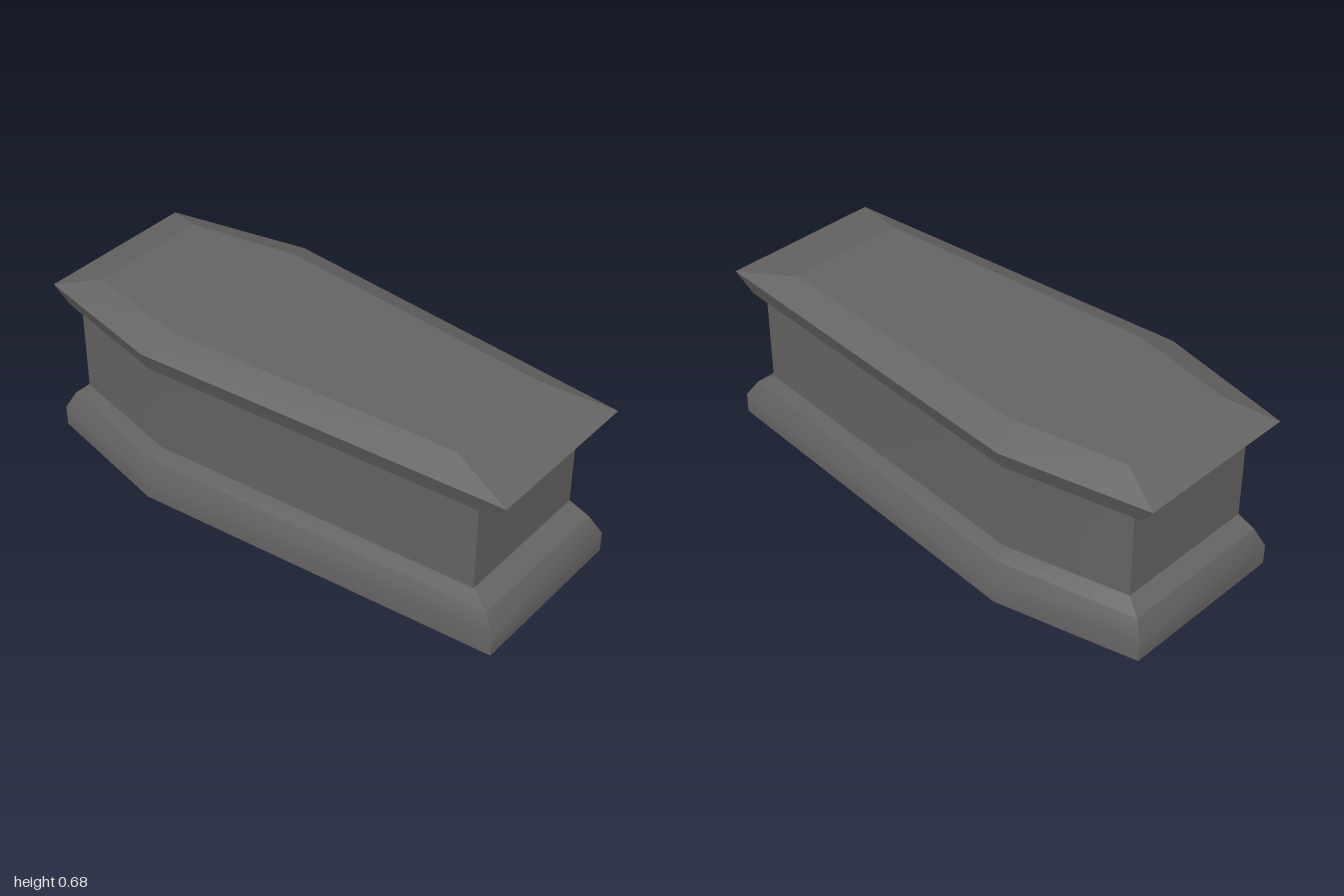
import * as THREE from 'three';
import { toCreasedNormals } from 'three/addons/utils/BufferGeometryUtils.js';

// Six-sided outline at height y: half-width and z at front, shoulder and back
function ring([y, wf, zf, wm, zm, wb, zb]) {
  return [[wf, zf], [wm, zm], [wb, zb], [-wb, zb], [-wm, zm], [-wf, zf]]
    .map(([x, z]) => [x, y, z]);
}

// Skin a stack of outlines from bottom to top, with optional end caps
function loft(sections, crease, { bottom = false, top = false } = {}) {
  const rings = sections.map(ring);
  const pos = [];
  const tri = (a, b, c) => pos.push(...a, ...b, ...c);
  for (let k = 0; k < rings.length - 1; k++) {
    const a = rings[k], b = rings[k + 1];
    for (let i = 0; i < 6; i++) {
      const j = (i + 1) % 6;
      tri(a[i], a[j], b[j]);
      tri(a[i], b[j], b[i]);
    }
  }
  const first = rings[0], last = rings[rings.length - 1];
  for (let i = 1; i < 5; i++) {
    if (bottom) tri(first[0], first[i + 1], first[i]);
    if (top) tri(last[0], last[i], last[i + 1]);
  }
  const geometry = new THREE.BufferGeometry();
  geometry.setAttribute('position', new THREE.Float32BufferAttribute(pos, 3));
  return toCreasedNormals(geometry, crease);
}

export function createModel() {
  const group = new THREE.Group();
  group.name = 'sarcophagus';
  const stone = new THREE.MeshStandardMaterial({ color: 0x666462 });
  stone.name = 'dark stone';

  const add = (name, geometry) => {
    const mesh = new THREE.Mesh(geometry, stone);
    mesh.name = name;
    group.add(mesh);
  };

  // Shared outlines: y, front w, front z, shoulder w, shoulder z, back w, back z
  const floor = [0, 0.337, 0.99, 0.46, -0.45, 0.337, -0.99];
  const plinthTop = [0.08, 0.337, 0.99, 0.46, -0.45, 0.337, -0.99];
  const moulding = [0.15, 0.311, 0.945, 0.424, -0.44, 0.311, -0.955];
  const bodyFoot = [0.2, 0.288, 0.875, 0.393, -0.43, 0.288, -0.9];
  const bodyHead = [0.54, 0.288, 0.875, 0.393, -0.43, 0.288, -0.9];
  const lidLip = [0.555, 0.305, 0.93, 0.413, -0.44, 0.305, -0.945];
  const lidEdge = [0.63, 0.325, 1, 0.442, -0.45, 0.325, -1];
  const lidTop = [0.68, 0.24, 0.745, 0.325, -0.4, 0.245, -0.83];

  // Rounded plinth and its sloping shoulder
  add('plinth', loft([floor, plinthTop, moulding], 0.7, { bottom: true }));
  add('plinthShoulder', loft([moulding, bodyFoot], 0.5));

  // Upright chest
  add('chest', loft([bodyFoot, bodyHead], 0.5));

  // Overhanging lid with bevelled top
  add('lidRim', loft([bodyHead, lidLip, lidEdge], 0.35));
  add('lidTop', loft([lidEdge, lidTop], 0.15, { top: true }));

  return group;
}
